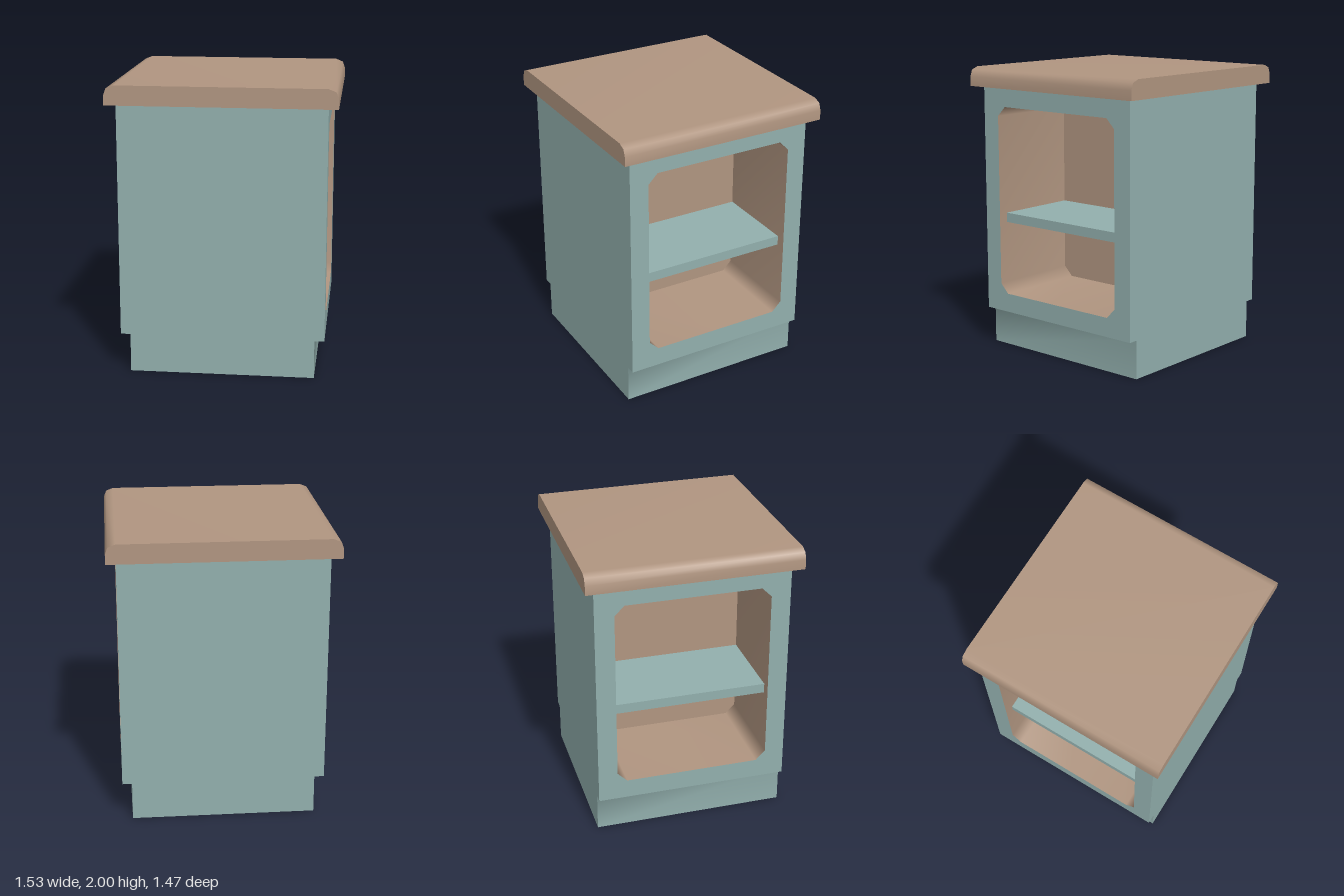
import * as THREE from 'three';

const teal = new THREE.MeshStandardMaterial({ name: 'tealPaint', color: 0x92afad });
const wood = new THREE.MeshStandardMaterial({ name: 'brownWood', color: 0xb09580 });

// Cabinet sizes
const W = 0.7, D = 0.667, TOP = 1.867, PLINTH_H = 0.267, PLINTH_W = 0.633;
const HOLE_W = 0.533, HOLE_LOW = 0.4, HOLE_HIGH = 1.733, CUT = 0.067;
const DIVIDER = 0.033;

const mesh = (name, geometry, material) => {
  const m = new THREE.Mesh(geometry, material);
  m.name = name;
  return m;
};

const toShape = (points) => new THREE.Shape(points.map(([x, y]) => new THREE.Vector2(x, y)));

// Smooth band swept along z; a counter-clockwise profile faces outward
function strip(profile, z0, z1) {
  const positions = [], index = [];
  profile.forEach(([x, y], i) => {
    positions.push(x, y, z0, x, y, z1);
    if (i < profile.length - 1) {
      const a = i * 2;
      index.push(a, a + 2, a + 1, a + 2, a + 3, a + 1);
    }
  });
  const g = new THREE.BufferGeometry();
  g.setAttribute('position', new THREE.Float32BufferAttribute(positions, 3));
  g.setIndex(index);
  g.computeVertexNormals();
  return g;
}

// Rectangle with clipped corners, counter-clockwise from the middle of the bottom edge
function openingOutline() {
  const w = HOLE_W, l = HOLE_LOW, h = HOLE_HIGH, c = CUT;
  return [
    [0, l], [w - c, l], [w, l + c], [w, h - c], [w - c, h],
    [-w + c, h], [-w, h - c], [-w, l + c], [-w + c, l], [0, l],
  ];
}

// One open side: frame, lined compartment, shelf and recessed plinth
function makeSide(name) {
  const side = new THREE.Group();
  side.name = name;
  const outline = openingOutline();

  const frame = toShape([[-D, PLINTH_H], [D, PLINTH_H], [D, TOP], [-D, TOP]]);
  frame.holes.push(toShape(outline));
  side.add(mesh('sideFrame',
    new THREE.ShapeGeometry(frame).rotateY(Math.PI / 2).translate(W, 0, 0), teal));

  side.add(mesh('compartmentLining',
    strip([...outline].reverse(), DIVIDER, W).rotateY(Math.PI / 2), wood));
  side.add(mesh('compartmentBack',
    new THREE.ShapeGeometry(toShape(outline)).rotateY(Math.PI / 2).translate(DIVIDER, 0, 0), wood));

  const shelfDepth = PLINTH_W - DIVIDER;
  side.add(mesh('shelf',
    new THREE.BoxGeometry(shelfDepth, 0.067, HOLE_W * 2)
      .translate(DIVIDER + shelfDepth / 2, 0.936, 0), teal));

  side.add(mesh('plinth',
    strip([[PLINTH_W, 0], [PLINTH_W, PLINTH_H], [W, PLINTH_H]], -D, D), teal));
  return side;
}

// Worktop with rounded long edges
function makeWorktop() {
  const top = new THREE.Group();
  top.name = 'worktop';
  const half = [[0.767, TOP], [0.767, 1.933], [0.75, 1.98], [0.7, 2]];
  const profile = [...half, ...half.map(([x, y]) => [-x, y]).reverse()];
  const depth = 0.733;
  top.add(mesh('worktopSurface', strip(profile, -depth, depth), wood));
  const end = new THREE.ShapeGeometry(toShape(profile));
  top.add(mesh('worktopFrontEdge', end.clone().translate(0, 0, depth), wood));
  top.add(mesh('worktopBackEdge', end.rotateY(Math.PI).translate(0, 0, -depth), wood));
  top.add(mesh('worktopUnderside',
    new THREE.PlaneGeometry(1.534, depth * 2).rotateX(Math.PI / 2).translate(0, TOP, 0), wood));
  return top;
}

export function createModel() {
  const model = new THREE.Group();
  model.name = 'cabinet';

  // Closed panels, stepped in at the plinth
  const panel = new THREE.ShapeGeometry(toShape([
    [-PLINTH_W, 0], [PLINTH_W, 0], [PLINTH_W, PLINTH_H], [W, PLINTH_H],
    [W, TOP], [-W, TOP], [-W, PLINTH_H], [-PLINTH_W, PLINTH_H],
  ]));
  model.add(mesh('frontPanel', panel.clone().translate(0, 0, D), teal));
  model.add(mesh('backPanel', panel.rotateY(Math.PI).translate(0, 0, -D), teal));
  model.add(mesh('base',
    new THREE.PlaneGeometry(PLINTH_W * 2, D * 2).rotateX(Math.PI / 2), teal));

  // Matching open sides
  const left = makeSide('leftSide');
  const right = makeSide('rightSide');
  right.rotation.y = Math.PI;
  model.add(left, right, makeWorktop());
  return model;
}
